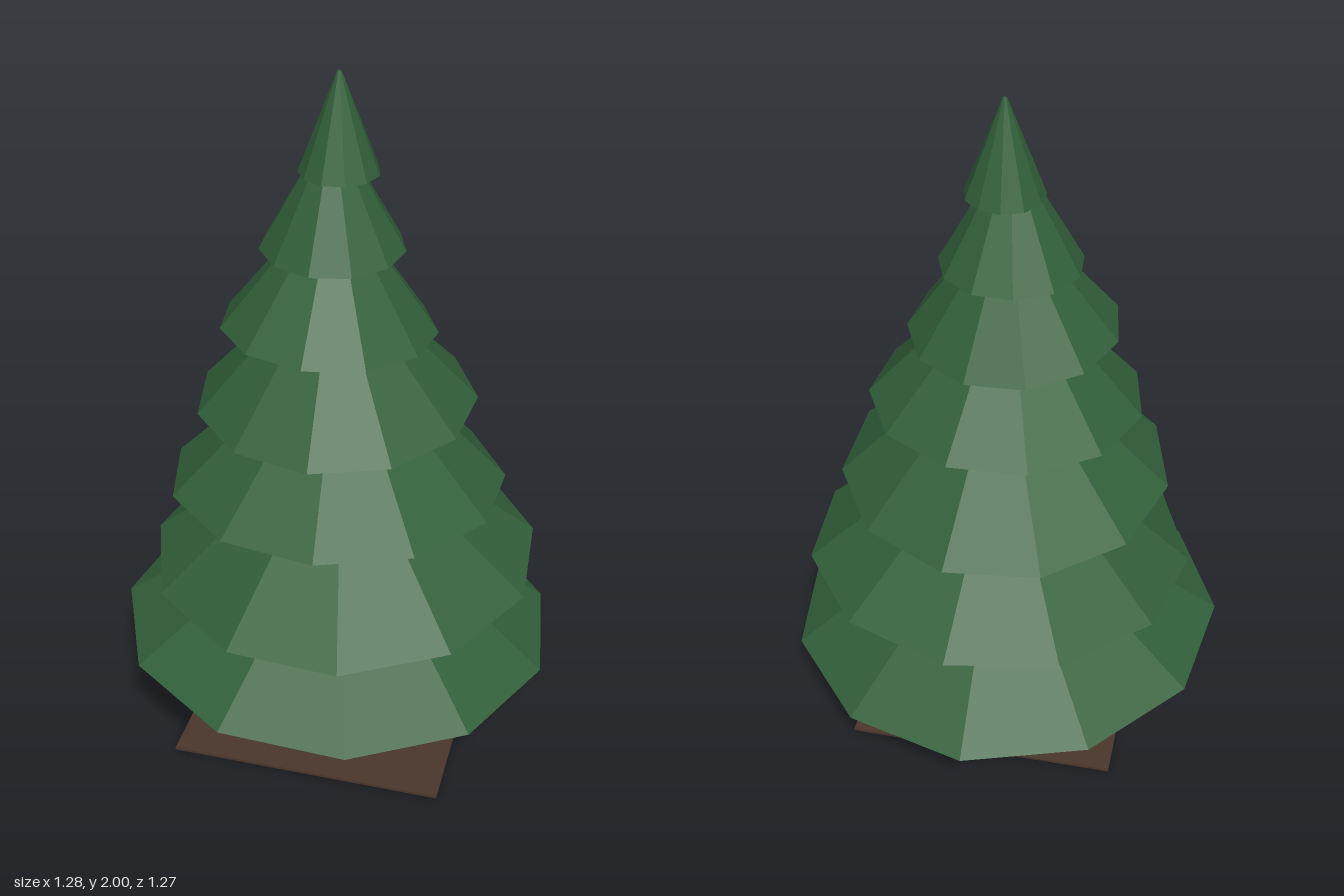
import * as THREE from 'three';

const SIDES = 11;

// Each tier: base centre x, y, z, radius, height, turn (degrees), slope along x, slope along z
const TIERS = [
  [0.0, 0.283, 0.0, 0.647, 0.46, 0, -0.04, 0.0],
  [0.022, 0.54, 0.004, 0.57, 0.465, 4, 0.009, -0.052],
  [0.012, 0.815, 0.045, 0.482, 0.47, 9.6, 0.0, 0.052],
  [0.008, 1.075, 0.042, 0.393, 0.42, 13, 0.006, -0.036],
  [-0.01, 1.303, 0.055, 0.298, 0.385, 15.5, -0.03, 0.047],
  [-0.008, 1.522, 0.022, 0.198, 0.34, 20, -0.012, -0.03],
  [0.008, 1.73, 0.014, 0.109, 0.27, 27, 0.0, 0.0],
];

export function createModel() {
  const tree = new THREE.Group();
  tree.name = 'pineTree';

  const mat = (name, color) => {
    const m = new THREE.MeshStandardMaterial({ color, flatShading: true });
    m.name = name;
    return m;
  };
  const needles = mat('needleGreen', 0x32603a);
  const bark = mat('darkBark', 0x25230f);
  const soil = mat('soilBrown', 0x4a372c);

  const add = (name, geometry, material, x, y, z) => {
    const mesh = new THREE.Mesh(geometry, material);
    mesh.name = name;
    mesh.position.set(x, y, z);
    tree.add(mesh);
    return mesh;
  };

  // Square ground plate
  add('groundPlate', new THREE.BoxGeometry(0.795, 0.008, 0.795), soil, 0.008, 0.007, 0.031);

  // Trunk, reaching up into the lowest tier
  add('trunk', new THREE.CylinderGeometry(0.064, 0.064, 0.4, SIDES), bark, 0.008, 0.2, 0.034);

  // Stacked, slightly tilted cones of foliage
  TIERS.forEach(([x, y, z, radius, height, turn, slopeX, slopeZ], i) => {
    const cone = new THREE.CylinderGeometry(0.006, radius, height, SIDES);
    cone.translate(0, height / 2, 0);
    cone.rotateY(Math.PI - THREE.MathUtils.degToRad(turn));
    const tier = add(`foliageTier${i + 1}`, cone, needles, x, y, z);
    tier.rotation.set(-Math.asin(slopeZ), 0, Math.asin(slopeX));
  });

  return tree;
}
